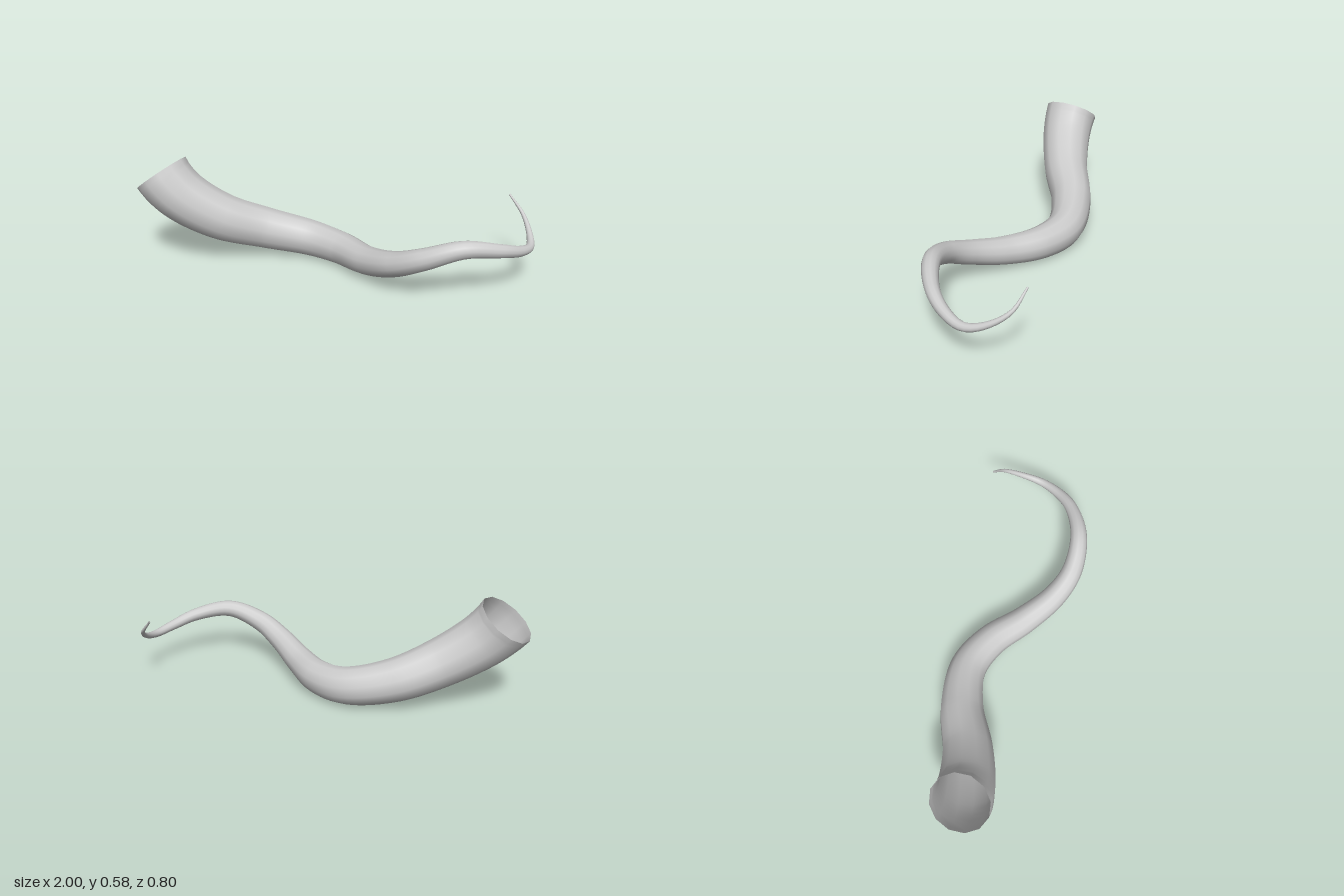
import * as THREE from 'three';

const SIDES = 12, RINGS = 96;

// Centre line from the wide open root to the fine curled tip
const PATH = [
  [-0.88, 0.485, 0.245], [-0.85, 0.444, 0.245], [-0.77, 0.36, 0.224], [-0.6, 0.24, 0.14],
  [-0.4, 0.15, 0.005], [-0.17, 0.097, -0.07], [0.02, 0.086, -0.027], [0.2, 0.098, 0.085],
  [0.38, 0.152, 0.183], [0.53, 0.217, 0.215], [0.71, 0.278, 0.17], [0.87, 0.25, 0.055],
  [0.945, 0.212, -0.06], [0.975, 0.195, -0.17], [0.955, 0.222, -0.27], [0.9, 0.288, -0.365],
  [0.82, 0.372, -0.397],
].map((p) => new THREE.Vector3(...p));

// Tube whose rings shrink towards the tip
function taperedTube(curve, radiusAt) {
  const geo = new THREE.TubeGeometry(curve, RINGS, 1, SIDES, false);
  const pos = geo.attributes.position;
  const v = new THREE.Vector3();
  for (let i = 0; i <= RINGS; i++) {
    const t = i / RINGS;
    const centre = curve.getPointAt(t);
    for (let j = 0; j <= SIDES; j++) {
      const k = i * (SIDES + 1) + j;
      v.fromBufferAttribute(pos, k).sub(centre).multiplyScalar(radiusAt(t)).add(centre);
      pos.setXYZ(k, v.x, v.y, v.z);
    }
  }
  return geo;
}

export function createModel() {
  const group = new THREE.Group();
  group.name = 'horn';
  const curve = new THREE.CatmullRomCurve3(PATH, false, 'centripetal');
  curve.arcLengthDivisions = 600;
  const material = new THREE.MeshStandardMaterial({ color: 0xcccccc, side: THREE.DoubleSide });
  const shell = new THREE.Mesh(
    taperedTube(curve, (t) => 0.005 + 0.145 * Math.pow(1 - t, 1.08)),
    material,
  );
  shell.name = 'hornShell';
  group.add(shell);
  return group;
}
